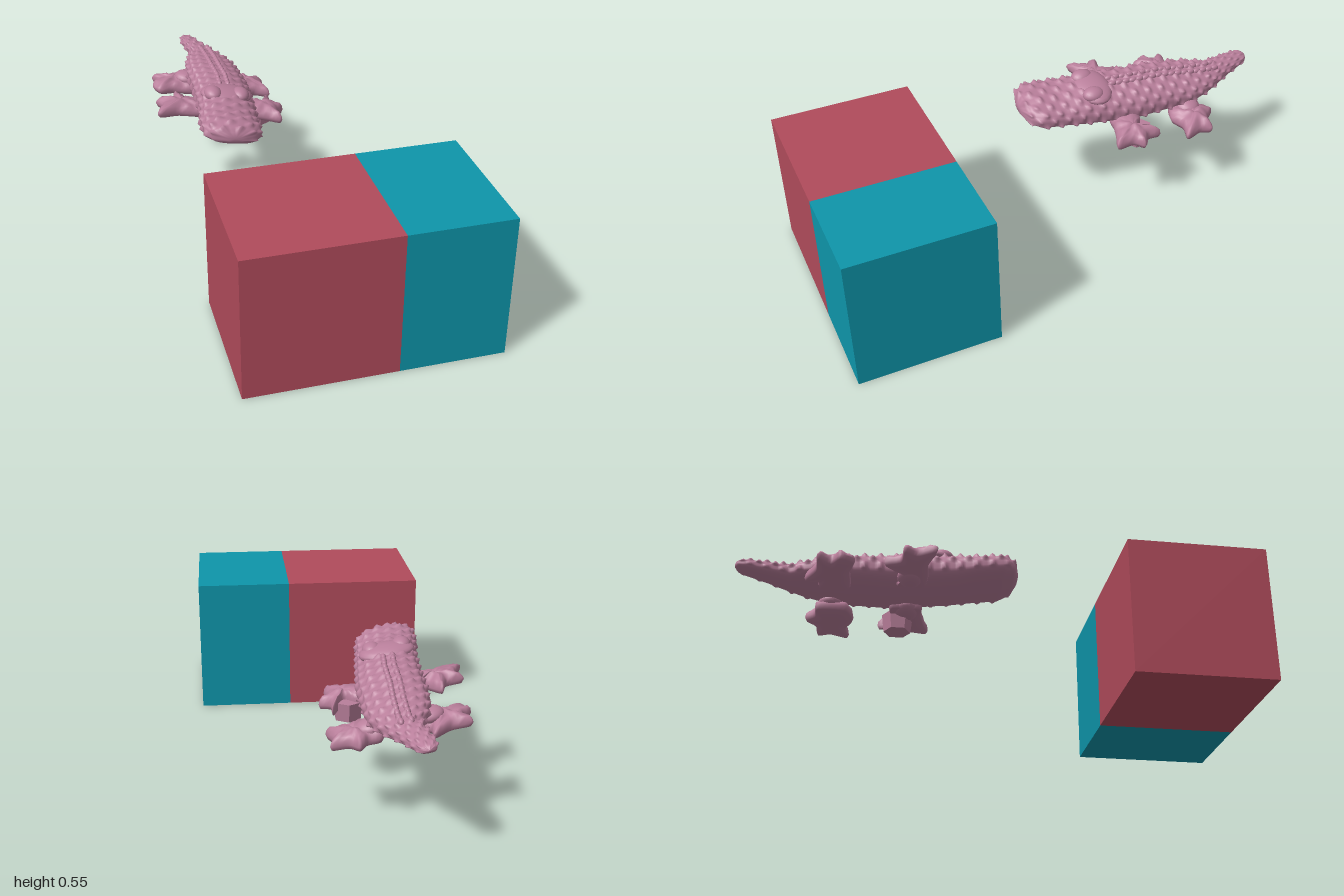
import * as THREE from 'three';

const skin = new THREE.MeshStandardMaterial({ color: 0xb97f9b, side: THREE.DoubleSide });
const red = new THREE.MeshStandardMaterial({ color: 0xb04b5b });
const teal = new THREE.MeshStandardMaterial({ color: 0x0e95aa });

// Skin a grid of points: each row is a closed ring
function loft(rows) {
  const n = rows[0].length, index = [];
  for (let i = 0; i < rows.length - 1; i++) {
    for (let j = 0; j < n; j++) {
      const a = i * n + j, b = i * n + (j + 1) % n;
      index.push(a, b, a + n, b, b + n, a + n);
    }
  }
  const geo = new THREE.BufferGeometry().setFromPoints(rows.flat());
  geo.setIndex(index);
  geo.computeVertexNormals();
  return geo;
}

function add(group, name, geo, material) {
  const mesh = new THREE.Mesh(geo, material);
  mesh.name = name;
  group.add(mesh);
  return mesh;
}

// The animal leans over, its left side lower
const lean = (x) => -0.17 * (x + 0.2);

// Body sections: z, centre x, half width, top y, bottom y
const SECTIONS = [
  [0.062, -0.24, 0.03, 0.455, 0.425], [0.045, -0.24, 0.085, 0.478, 0.41],
  [0, -0.236, 0.113, 0.492, 0.397], [-0.1, -0.23, 0.113, 0.487, 0.385],
  [-0.18, -0.215, 0.11, 0.498, 0.375], [-0.3, -0.205, 0.112, 0.495, 0.365],
  [-0.42, -0.195, 0.115, 0.492, 0.36], [-0.55, -0.195, 0.113, 0.482, 0.362],
  [-0.67, -0.19, 0.105, 0.465, 0.37], [-0.74, -0.19, 0.085, 0.455, 0.378],
  [-0.8, -0.19, 0.058, 0.448, 0.382], [-0.88, -0.215, 0.045, 0.442, 0.388],
  [-0.96, -0.235, 0.035, 0.435, 0.395], [-0.99, -0.238, 0.025, 0.43, 0.402],
  [-1, -0.238, 0.004, 0.42, 0.412],
];

function sectionAt(z) {
  let i = 0;
  while (i < SECTIONS.length - 2 && z < SECTIONS[i + 1][0]) i++;
  const a = SECTIONS[i], b = SECTIONS[i + 1];
  const t = (z - a[0]) / (b[0] - a[0]);
  return a.map((v, k) => THREE.MathUtils.lerp(v, b[k], t));
}

// Rounded back with rows of scutes, flat belly
function bodyGeometry() {
  const rows = [], steps = 170, sides = 64;
  for (let i = 0; i <= steps; i++) {
    const z = 0.062 - 1.062 * i / steps;
    const [, cx, hw, top, bottom] = sectionAt(z);
    const mid = bottom + (top - bottom) * 0.45;
    const row = [];
    for (let j = 0; j < sides; j++) {
      const a = j / sides * Math.PI * 2, c = Math.cos(a), s = Math.sin(a);
      const wave = Math.sin(z * 105) * Math.sin(a * 8 + 0.8);
      const scute = s > -0.3 ? 0.013 * Math.max(0, wave) ** 1.5 : 0;
      const size = Math.min(1, hw / 0.06);
      const x = cx + c * (hw + scute * size);
      const y = s > 0
        ? mid + s ** 0.85 * (top - mid + scute * size)
        : mid - Math.sqrt(-s) * (mid - bottom);
      row.push(new THREE.Vector3(x, y + lean(x), z));
    }
    rows.push(row);
  }
  // Close both ends
  for (const [end, put] of [[rows[0], 'unshift'], [rows[steps], 'push']]) {
    const centre = end.reduce((m, p) => m.add(p), new THREE.Vector3()).divideScalar(sides);
    rows[put](end.map(() => centre.clone()));
  }
  return loft(rows);
}

// Domed, knobbly foot with a toed outline given as [x, z]
function footGeometry(outline, base, height) {
  const curve = new THREE.CatmullRomCurve3(
    outline.map(([x, z]) => new THREE.Vector3(x, 0, z)), true, 'catmullrom', 0.4);
  const edge = curve.getPoints(56).slice(0, -1);
  const centre = edge.reduce((m, p) => m.add(p), new THREE.Vector3()).divideScalar(edge.length);
  const rings = [[0, 0], [0.5, 0], [0.93, 0], [1, 0.25], [0.97, 0.5], [0.85, 0.7],
    [0.65, 0.85], [0.4, 0.95], [0.2, 1], [0, 1]];
  return loft(rings.map(([s, h]) => edge.map((p) => {
    const q = centre.clone().lerp(p, s);
    const knob = h > 0.4 ? 0.006 * Math.sin(q.x * 110) * Math.sin(q.z * 110) : 0;
    q.y = base + h * height + knob + lean(q.x) - lean(centre.x);
    return q;
  })));
}

const FEET = {
  leftFrontFoot: [0.325, 0.06, [[-0.14, -0.41], [-0.08, -0.41], [-0.035, -0.38], [0.012, -0.455],
    [0.015, -0.395], [0.055, -0.365], [0.022, -0.325], [0.025, -0.255], [-0.035, -0.275],
    [-0.09, -0.29], [-0.14, -0.3]]],
  leftBackFoot: [0.3, 0.06, [[-0.14, -0.69], [-0.085, -0.7], [-0.055, -0.735], [-0.02, -0.695],
    [0.042, -0.685], [0.03, -0.635], [0.048, -0.565], [-0.015, -0.575], [-0.07, -0.55],
    [-0.14, -0.58]]],
  rightFrontFoot: [0.385, 0.055, [[-0.26, -0.3], [-0.32, -0.285], [-0.4, -0.29], [-0.485, -0.265],
    [-0.455, -0.335], [-0.475, -0.385], [-0.41, -0.395], [-0.385, -0.455], [-0.345, -0.4],
    [-0.32, -0.37], [-0.26, -0.4]]],
  rightBackFoot: [0.35, 0.055, [[-0.26, -0.58], [-0.31, -0.57], [-0.37, -0.575], [-0.43, -0.56],
    [-0.455, -0.61], [-0.42, -0.645], [-0.445, -0.695], [-0.37, -0.7], [-0.305, -0.74],
    [-0.3, -0.69], [-0.26, -0.68]]],
};

export function createModel() {
  const model = new THREE.Group();

  // Two coloured blocks standing side by side
  const blocks = new THREE.Group();
  blocks.name = 'blocks';
  add(blocks, 'redBlock', new THREE.BoxGeometry(0.545, 0.545, 0.545), red)
    .position.set(-0.165, 0.2725, 0.7275);
  add(blocks, 'tealBlock', new THREE.BoxGeometry(0.382, 0.545, 0.545), teal)
    .position.set(0.2985, 0.2725, 0.7275);

  const crocodile = new THREE.Group();
  crocodile.name = 'crocodile';
  add(crocodile, 'body', bodyGeometry(), skin);

  // Brow ridge with a raised lump over each eye
  const lump = (name, x, y, z, sx, sy, sz) => {
    const mesh = add(crocodile, name, new THREE.SphereGeometry(1, 20, 14), skin);
    mesh.position.set(x, y + lean(x), z);
    mesh.scale.set(sx, sy, sz);
    mesh.rotation.z = -0.17;
  };
  lump('brow', -0.208, 0.482, -0.25, 0.105, 0.032, 0.075);
  lump('rightEye', -0.265, 0.493, -0.23, 0.036, 0.028, 0.045);
  lump('leftEye', -0.155, 0.493, -0.23, 0.036, 0.028, 0.045);

  // Twin crests of knobs along the back
  for (let i = 0; i < 17; i++) {
    const z = -0.33 - i * 0.03;
    const [, cx, , top] = sectionAt(z);
    for (const side of [-1, 1]) {
      lump('crestKnob', cx + side * 0.017, top - 0.002, z, 0.011, 0.014, 0.02);
    }
  }

  for (const [name, [base, height, outline]] of Object.entries(FEET)) {
    add(crocodile, name, footGeometry(outline, base, height), skin);
  }

  // Faceted stump under the left front foot
  const stump = new THREE.CylinderGeometry(0.06, 0.052, 0.07, 6).toNonIndexed();
  stump.computeVertexNormals();
  add(crocodile, 'leftFrontStump', stump, skin).position.set(-0.05, 0.315, -0.38);

  // Shoulders and hips joining feet to the belly
  for (const z of [-0.35, -0.64]) {
    lump('limbJoint', -0.1, 0.37, z, 0.055, 0.03, 0.05);
    lump('limbJoint', -0.3, 0.375, z, 0.055, 0.03, 0.05);
  }

  model.add(blocks, crocodile);
  return model;
}
